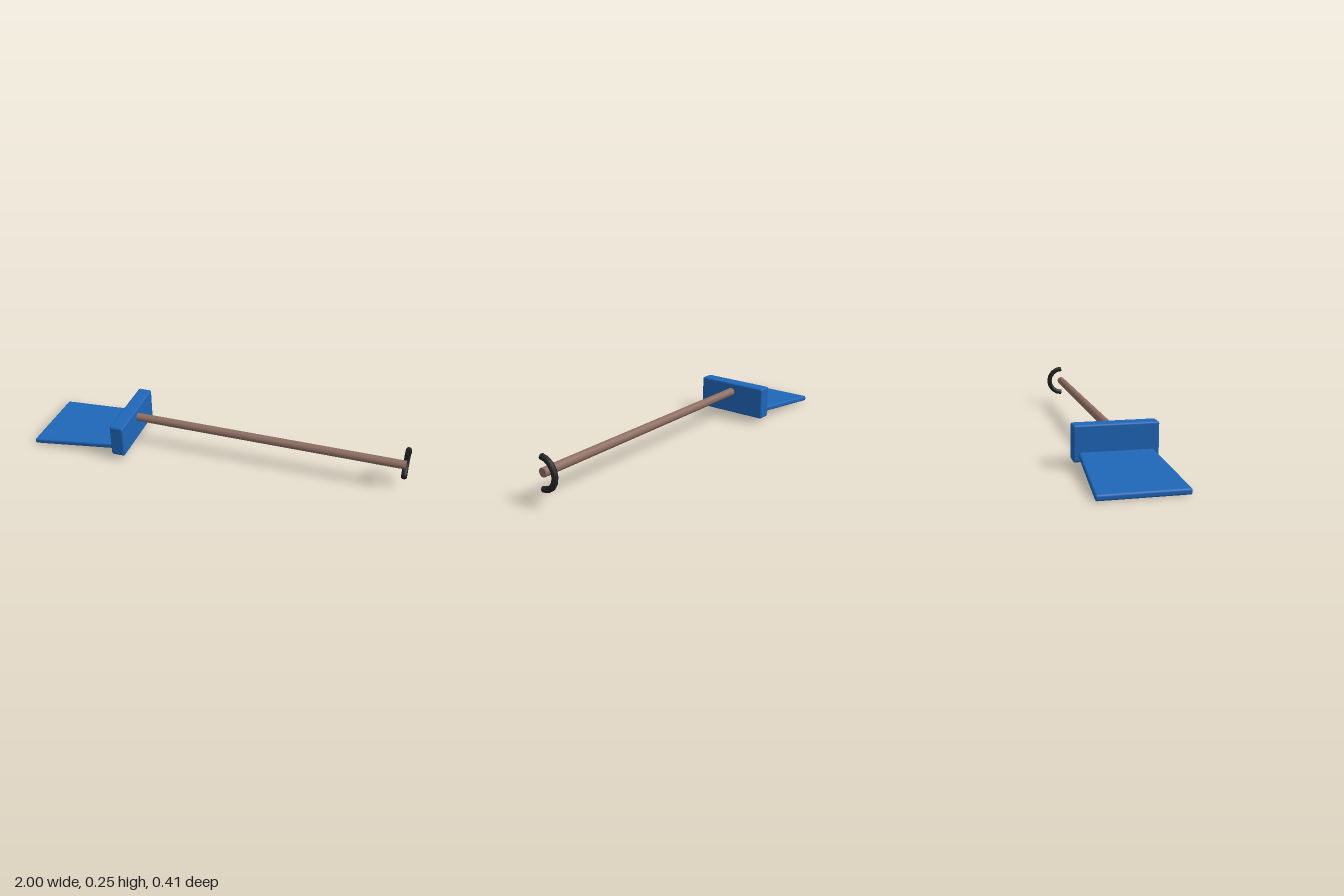
import * as THREE from 'three';
import { RoundedBoxGeometry } from 'three/addons/geometries/RoundedBoxGeometry.js';

const mat = (color) => new THREE.MeshStandardMaterial({ color });

export function createModel() {
  const group = new THREE.Group();
  const blue = mat(0x1f66b8), wood = mat(0x8d6e63), black = mat(0x222222);
  const axisY = 0.155;

  const add = (name, geometry, material, x = 0, y = 0, z = 0) => {
    const mesh = new THREE.Mesh(geometry, material);
    mesh.name = name;
    mesh.position.set(x, y, z);
    group.add(mesh);
    return mesh;
  };

  // Upright plate that holds the handle
  add('backPlate', new RoundedBoxGeometry(0.075, 0.177, 0.412, 3, 0.01), blue, -0.497, 0.118);

  // Blade: a thin slab, wider at its tip and rising toward the plate
  const length = 0.5;
  const blade = new RoundedBoxGeometry(length, 0.029, 0.412, 3, 0.01);
  const p = blade.attributes.position;
  for (let i = 0; i < p.count; i++) {
    const t = p.getX(i) / length + 0.5;
    p.setZ(i, p.getZ(i) * (1 - 0.135 * t));
    p.setY(i, p.getY(i) + 0.1 * length * t);
  }
  blade.computeBoundingSphere();
  add('blade', blade, blue, -1 + length / 2, 0.0155);

  // Long round handle
  const handle = new THREE.CylinderGeometry(0.0225, 0.0225, 1.465, 24).rotateZ(Math.PI / 2);
  add('handle', handle, wood, 0.2525, axisY);

  // Half-ring grip around the handle's end, open toward +z
  const points = [];
  for (let i = 0; i <= 8; i++) {
    const a = Math.PI * i / 8;
    points.push(new THREE.Vector3(0, 0.0777 * Math.cos(a), -0.0777 * Math.sin(a)));
  }
  const curve = new THREE.CatmullRomCurve3(points);
  add('grip', new THREE.TubeGeometry(curve, 8, 0.015, 12), black, 0.985, axisY);

  // Caps closing the grip's ends
  for (const t of [0, 1]) {
    const out = curve.getTangent(t).multiplyScalar(t ? 1 : -1);
    const end = curve.getPoint(t);
    const cap = add('gripCap', new THREE.CircleGeometry(0.015, 12), black, 0.985, axisY + end.y, end.z);
    cap.quaternion.setFromUnitVectors(new THREE.Vector3(0, 0, 1), out);
  }

  return group;
}
